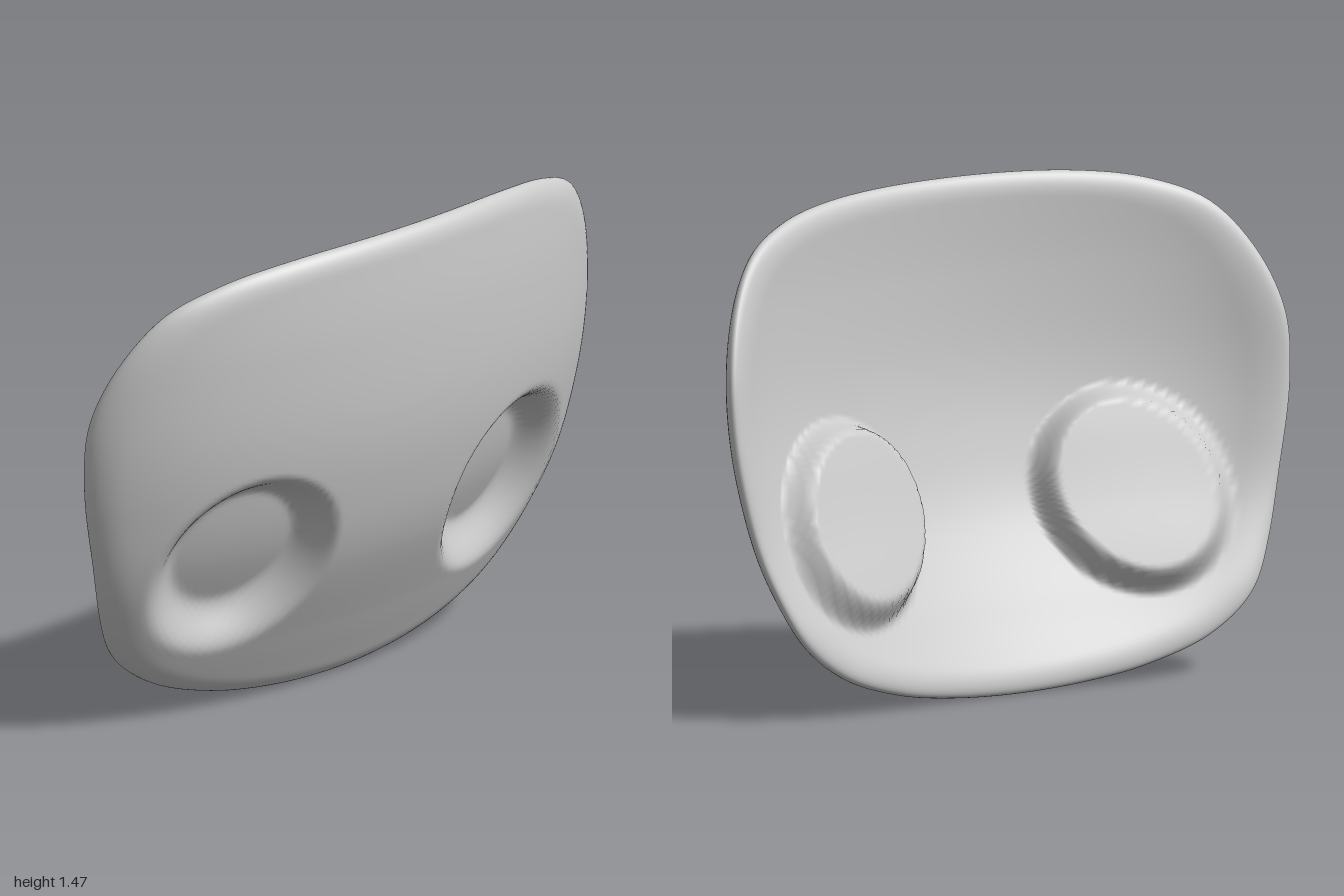
import * as THREE from 'three';

const SEG = 200, RINGS = 64, HALF = 0.036, CY = 0.72;
const EYE_X = 0.515, EYE_Y = 0.52;

// Right half of the outline, bottom to top
const half = [[0.24, 0.012], [0.45, 0.045], [0.655, 0.115], [0.8, 0.225], [0.89, 0.39],
  [0.955, 0.6], [0.997, 0.83], [0.995, 1.03], [0.93, 1.215], [0.82, 1.35], [0.66, 1.42], [0.44, 1.457]];
const outline = new THREE.CatmullRomCurve3([
  [0, 0], ...half, [0, 1.472], ...half.slice().reverse().map(([x, y]) => [-x, y]),
].map(([x, y]) => new THREE.Vector3(x, y, 0)), true).getSpacedPoints(SEG);

// Centre-line profile: height against depth
const profile = new THREE.SplineCurve([[0, -0.165], [0.1, -0.11], [0.22, -0.045], [0.48, 0.09],
  [0.7, 0.16], [0.92, 0.2], [1.18, 0.213], [1.4, 0.207], [1.48, 0.2]].map(p => new THREE.Vector2(...p)));
const samples = profile.getPoints(400);

function profileZ(y) {
  let i = 1;
  while (i < samples.length - 1 && samples[i].x < y) i++;
  const a = samples[i - 1], b = samples[i];
  return a.y + (b.y - a.y) * (y - a.x) / (b.x - a.x);
}

// Middle of the curved plate, and its forward normal
const midZ = (x, y) => profileZ(y) - 0.26 * x * x - 0.07 * Math.pow(x, 8);
function midNormal(x, y) {
  const e = 0.03;
  return new THREE.Vector3(
    -(midZ(x + e, y) - midZ(x - e, y)) / (2 * e),
    -(midZ(x, y + e) - midZ(x, y - e)) / (2 * e), 1).normalize();
}

// Depth of the eye sockets: soft lip in front, domed pod with a crisp edge behind
function socket(x, y, front) {
  const r = Math.hypot(Math.abs(x) - EYE_X, y - EYE_Y);
  if (front) return 0.1 * (1 - THREE.MathUtils.smoothstep(r, 0.185, 0.295));
  return 0.08 * (1 - THREE.MathUtils.smoothstep(r, 0.255, 0.3)) + 0.025 * Math.max(0, 1 - (r / 0.29) ** 2);
}

// One skin running from the front centre, around the rounded rim, to the back centre
function plateGeometry() {
  const pos = [], index = [], rows = RINGS * 2;
  const rim = 0.91;
  for (let i = 0; i <= rows; i++) {
    const front = i <= RINGS;
    const k = (front ? i : rows - i) / RINGS;
    // The last rings follow a half-round edge
    let s, t = 1;
    if (k < 0.86) s = Math.max(k / 0.86 * rim, 0.0005);
    else {
      const a = (k - 0.86) / 0.14 * Math.PI / 2;
      s = rim + (1 - rim) * Math.sin(a);
      t = Math.cos(a);
    }
    for (let j = 0; j < SEG; j++) {
      const x = outline[j].x * s, y = CY + (outline[j].y - CY) * s;
      const offset = (front ? 1 : -1) * HALF * t - socket(x, y, front) * t;
      const p = new THREE.Vector3(x, y, midZ(x, y)).addScaledVector(midNormal(x, y), offset);
      pos.push(p.x, p.y, p.z);
    }
  }
  for (let i = 0; i < rows; i++) {
    for (let j = 0; j < SEG; j++) {
      const n = (j + 1) % SEG;
      const a = i * SEG + j, b = (i + 1) * SEG + j, c = (i + 1) * SEG + n, d = i * SEG + n;
      index.push(a, b, c, a, c, d);
    }
  }
  const g = new THREE.BufferGeometry();
  g.setAttribute('position', new THREE.Float32BufferAttribute(pos, 3));
  g.setIndex(index);
  g.computeVertexNormals();
  return g;
}

export function createModel() {
  const group = new THREE.Group();
  group.name = 'mask';
  const plate = new THREE.Mesh(plateGeometry(), new THREE.MeshStandardMaterial({ color: 0xcccccc }));
  plate.name = 'facePlate';
  group.add(plate);
  return group;
}
